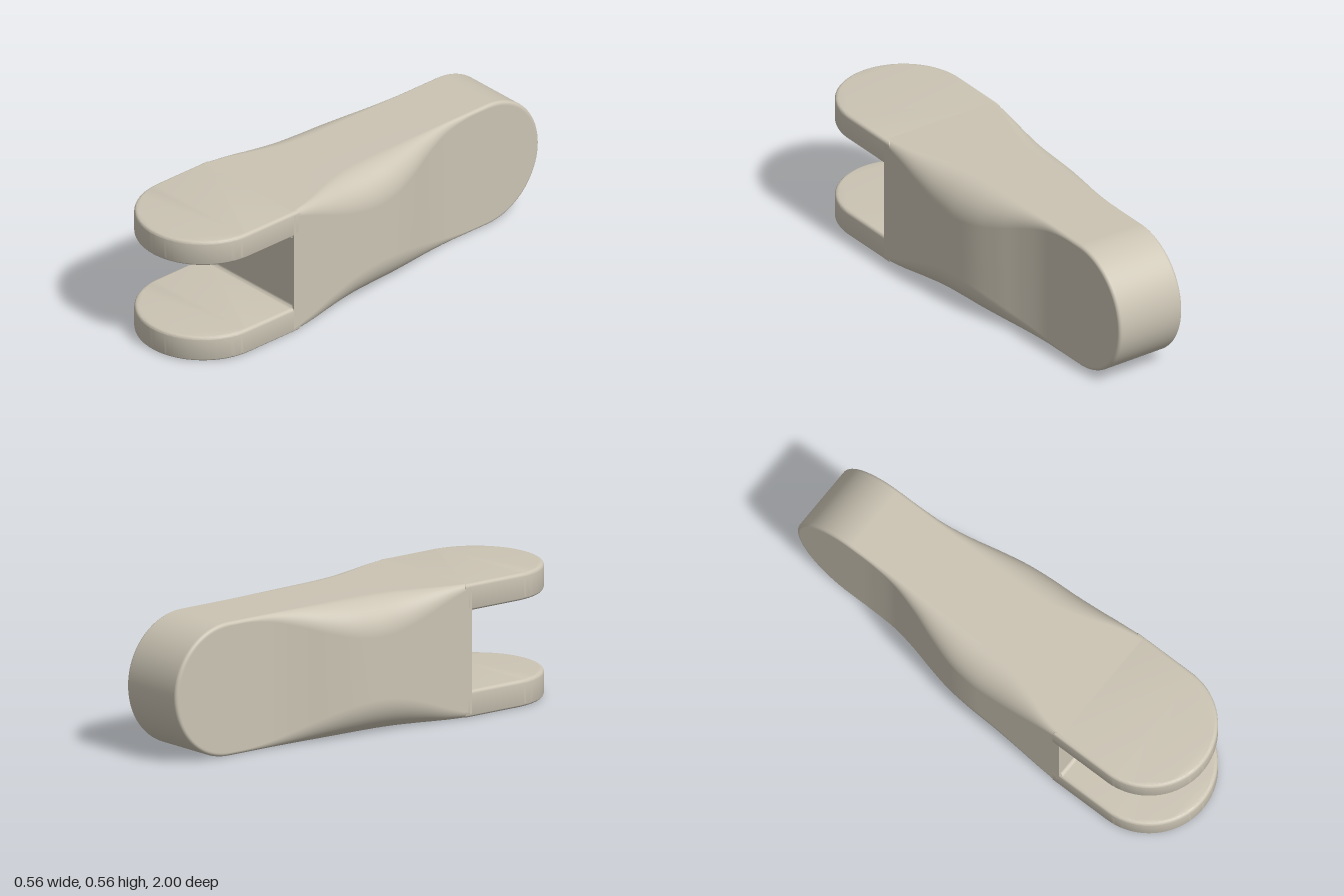
import * as THREE from 'three';
import { toCreasedNormals } from 'three/addons/utils/BufferGeometryUtils.js';

const R = 0.2825;        // half height, and radius of both rounded ends
const TONGUE = 0.16;     // half width of the tongue
const EDGE = 0.015;      // small edge rounding
const Z_FRONT = 0.47, Z_BACK = -0.7175;

// Rounded section in the x-y plane, counterclockwise, with elliptical corners
function section(halfWidth, rx, ry, steps = 14) {
  const pts = [];
  for (let q = 0; q < 4; q++) {
    const sx = q === 0 || q === 3 ? 1 : -1, sy = q < 2 ? 1 : -1;
    for (let k = 0; k <= steps; k++) {
      const a = (q + k / steps) * Math.PI / 2;
      pts.push(new THREE.Vector2(
        sx * (halfWidth - rx) + rx * Math.cos(a),
        R + sy * (R - ry) + ry * Math.sin(a)));
    }
  }
  return pts;
}

// Body: half width, corner width and corner height at even steps front to back
function bodyGeometry() {
  const curve = new THREE.CatmullRomCurve3([
    [0.2825, 0.015, 0.015], [0.2825, 0.042, 0.055], [0.2825, 0.085, 0.1],
    [0.2825, 0.12, 0.135], [0.281, 0.133, 0.15], [0.267, 0.122, 0.14],
    [0.236, 0.091, 0.11], [0.198, 0.053, 0.07], [0.17, 0.025, 0.035],
    [0.161, 0.016, 0.017], [TONGUE, EDGE, EDGE],
  ].map(p => new THREE.Vector3(...p)), false, 'catmullrom');
  const rows = 80, pos = [], index = [];
  let n = 0;
  for (let i = 0; i <= rows; i++) {
    const p = curve.getPoint(i / rows);
    const z = THREE.MathUtils.lerp(Z_FRONT, Z_BACK, i / rows);
    const pts = section(Math.min(p.x, R), p.y, p.z);
    n = pts.length;
    pts.forEach(v => pos.push(v.x, v.y, z));
  }
  for (let i = 0; i < rows; i++) {
    for (let j = 0; j < n; j++) {
      const a = i * n + j, b = i * n + (j + 1) % n;
      index.push(a, a + n, b, b, a + n, b + n);
    }
  }
  const g = new THREE.BufferGeometry();
  g.setAttribute('position', new THREE.Float32BufferAttribute(pos, 3));
  g.setIndex(index);
  g.computeVertexNormals();
  return g;
}

// Half disc with rounded rims closing the tongue
function tongueEndGeometry() {
  const pts = [[0, -TONGUE], [R - EDGE - 0.003, -TONGUE]].map(p => new THREE.Vector2(...p));
  for (const s of [-1, 1]) {
    for (let k = 0; k <= 6; k++) {
      const a = (s < 0 ? k / 6 - 1 : k / 6) * Math.PI / 2;
      pts.push(new THREE.Vector2(R - EDGE + EDGE * Math.cos(a), s * (TONGUE - EDGE) + EDGE * Math.sin(a)));
    }
  }
  pts.push(new THREE.Vector2(R - EDGE - 0.003, TONGUE), new THREE.Vector2(0, TONGUE));
  return new THREE.LatheGeometry(pts, 48, Math.PI / 2, Math.PI).rotateZ(Math.PI / 2);
}

// Fork plate with a round front and softened edges, lying on y = 0
function forkPlateGeometry(thickness) {
  const r = R - EDGE, back = Z_FRONT - 0.02, centre = 1 - R;
  const shape = new THREE.Shape();
  shape.moveTo(-r, back);
  shape.lineTo(r, back);
  shape.lineTo(r, centre);
  shape.absarc(0, centre, r, 0, Math.PI, false);
  shape.closePath();
  const g = new THREE.ExtrudeGeometry(shape, {
    depth: thickness - 2 * EDGE, bevelThickness: EDGE, bevelSize: EDGE,
    bevelSegments: 5, curveSegments: 48,
  });
  g.rotateX(Math.PI / 2).translate(0, thickness - EDGE, 0);
  return toCreasedNormals(g, 0.6);
}

// Concave strip filling the inner corner of the slot
function filletGeometry() {
  const f = 0.015, shape = new THREE.Shape();
  shape.moveTo(0, 0);
  shape.lineTo(f, 0);
  shape.absarc(f, f, f, -Math.PI / 2, -Math.PI, true);
  shape.closePath();
  const width = 2 * (R - 0.008);
  const g = new THREE.ExtrudeGeometry(shape, { depth: width, bevelEnabled: false, curveSegments: 6 });
  // shape x runs forward (+z), extrusion runs along x
  g.translate(0, 0, -width / 2).rotateY(-Math.PI / 2);
  return toCreasedNormals(g, 0.5);
}

export function createModel() {
  const group = new THREE.Group();
  group.name = 'forkedLink';
  const stone = new THREE.MeshStandardMaterial({ color: 0xcbc4b4 });
  stone.name = 'warm grey';

  const add = (name, geometry, x = 0, y = 0, z = 0) => {
    const mesh = new THREE.Mesh(geometry, stone);
    mesh.name = name;
    mesh.position.set(x, y, z);
    group.add(mesh);
    return mesh;
  };

  add('body', bodyGeometry());
  add('slotWall', new THREE.ShapeGeometry(new THREE.Shape(section(R, EDGE, EDGE))), 0, 0, Z_FRONT);
  add('tongueEnd', tongueEndGeometry(), 0, R, Z_BACK);

  // Two fork plates with the slot between them
  const thickness = 0.114;
  const plate = forkPlateGeometry(thickness);
  add('lowerForkPlate', plate);
  add('upperForkPlate', plate, 0, 2 * R - thickness, 0);

  const fillet = filletGeometry();
  add('lowerSlotFillet', fillet, 0, thickness, Z_FRONT);
  const upper = add('upperSlotFillet', fillet, 0, 2 * R - thickness, Z_FRONT);
  upper.rotation.z = Math.PI;

  return group;
}
